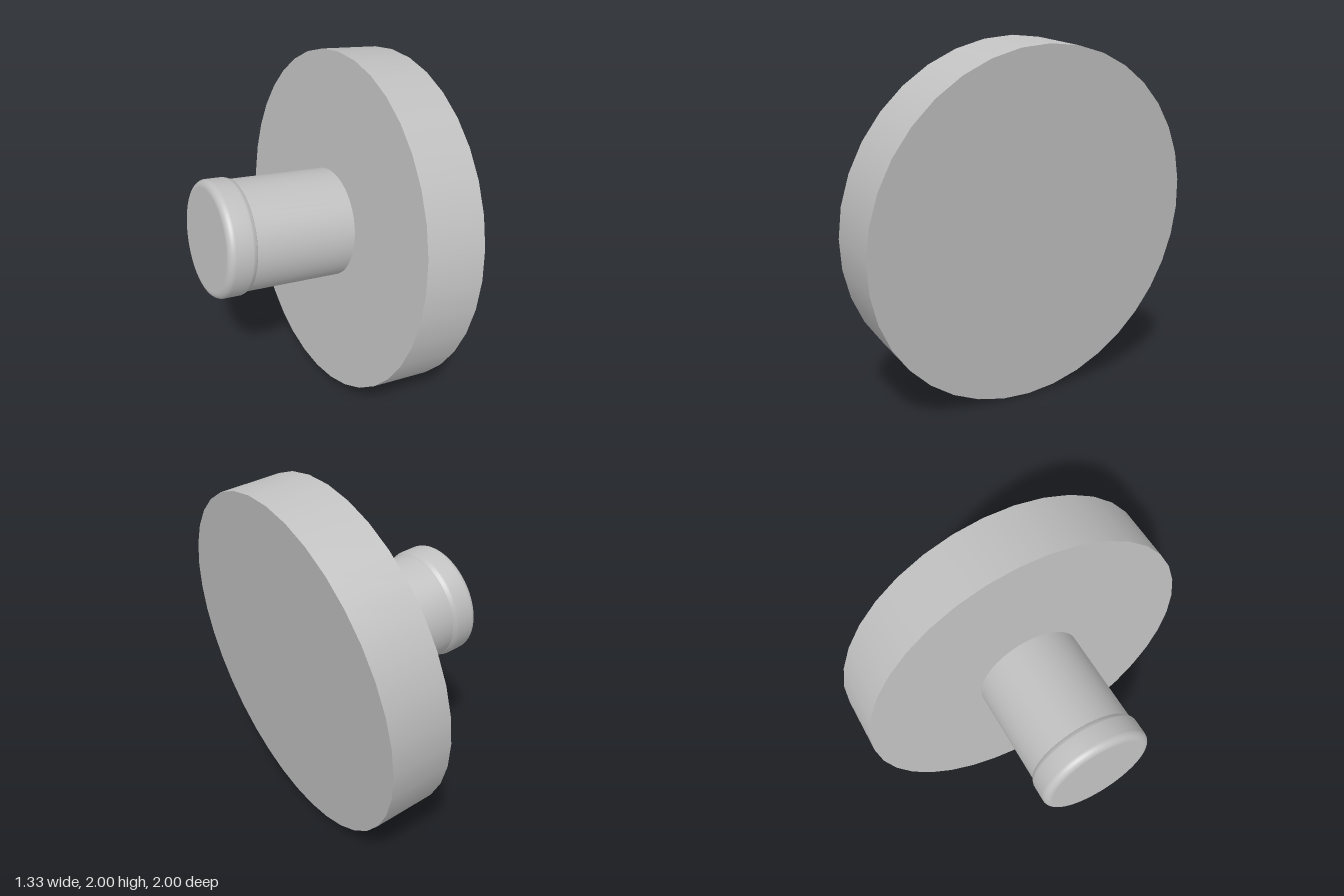
import * as THREE from 'three';

export function createModel() {
  const model = new THREE.Group();
  const grey = new THREE.MeshStandardMaterial({ color: 0xc0c0c0 });
  grey.name = 'plain grey';

  // Everything turns about one tilted axis; local +y runs toward the stem tip
  const knob = new THREE.Group();
  knob.name = 'knob';
  knob.position.set(0.298, 1, 0);
  knob.quaternion.setFromUnitVectors(
    new THREE.Vector3(0, 1, 0),
    new THREE.Vector3(-1, 0.135, -0.138).normalize()
  );
  model.add(knob);

  const add = (name, geometry, y = 0) => {
    const mesh = new THREE.Mesh(geometry, grey);
    mesh.name = name;
    mesh.position.y = y;
    knob.add(mesh);
    return mesh;
  };

  const discHalf = 0.175, tip = 0.93, faceRadius = 0.29, round = 0.04;

  // Wide flat disc
  add('disc', new THREE.CylinderGeometry(0.987, 0.987, discHalf * 2, 36));

  // Plain stem
  const collarStart = 0.765;
  add('stem', new THREE.CylinderGeometry(0.315, 0.315, collarStart - discHalf, 64, 1, true),
    (collarStart + discHalf) / 2);

  // Slightly wider collar with a sloped shoulder and a rounded outer edge
  const profile = [
    [0.315, collarStart], [0.319, 0.768], [0.327, 0.785], [0.33, 0.795], [0.33, 0.85]
  ].map(([r, y]) => new THREE.Vector2(r, y));
  for (let i = 0; i <= 8; i++) {
    const a = (i / 8) * Math.PI / 2;
    profile.push(new THREE.Vector2(faceRadius + round * Math.cos(a), tip - round + round * Math.sin(a)));
  }
  add('collar', new THREE.LatheGeometry(profile, 64));

  // Flat end of the stem
  add('stemFace', new THREE.CircleGeometry(faceRadius, 64).rotateX(-Math.PI / 2), tip);

  return model;
}
